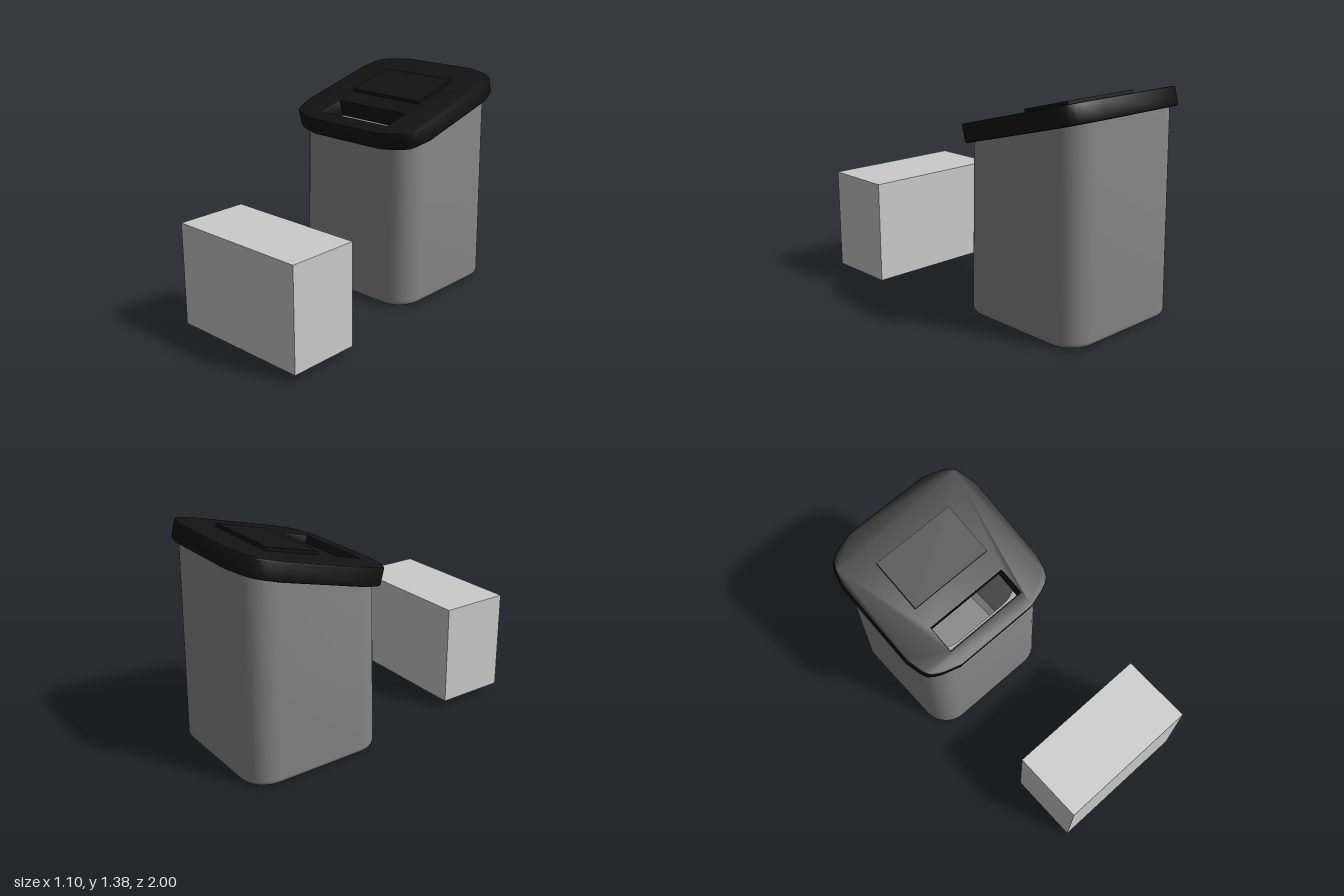
import * as THREE from 'three';
import { toCreasedNormals } from 'three/addons/utils/BufferGeometryUtils.js';

const CX = -0.05, CZ = -0.518;
const TILT = 0.26;                          // slope of the lid, radians
const LID = { y: 1.1425, z: -0.52, thick: 0.113 };
const dark = new THREE.MeshStandardMaterial({ color: 0x131313 });
const binGrey = new THREE.MeshStandardMaterial({ color: 0x898989 });
const grey = new THREE.MeshStandardMaterial({ color: 0xcccccc });

// Height of the lid's underside at depth z
const lidY = (z) => LID.y - (z - LID.z) * Math.tan(TILT);

// Rounded-rectangle ring, counterclockwise seen from above
function ring(hx, hz, r, steps = 10) {
  const pts = [];
  [[1, 1], [-1, 1], [-1, -1], [1, -1]].forEach(([sx, sz], k) => {
    for (let i = 0; i <= steps; i++) {
      const a = (k + i / steps) * Math.PI / 2;
      pts.push([sx * (hx - r) + r * Math.cos(a), -(sz * (hz - r) + r * Math.sin(a))]);
    }
  });
  return pts;
}

// Hollow tub lofted from rings: outside going up, over the slanted rim, down inside
function binGeometry() {
  const rows = [[0, 0, 0, 0]];
  for (let i = 0; i <= 5; i++) {            // rounded bottom edge
    const a = i / 5 * Math.PI / 2, inset = 0.035 * (1 - Math.sin(a));
    rows.push([0.035 * (1 - Math.cos(a)), 0.455 - inset, 0.452 - inset, 0.17 - inset]);
  }
  rows.push([null, 0.452, 0.436, 0.17], [null, 0.37, 0.36, 0.2],
    [0.09, 0.37, 0.36, 0.2], [0.05, 0.33, 0.32, 0.16], [0.05, 0, 0, 0]);

  const pos = [], idx = [];
  let n = 0;
  rows.forEach(([y, hx, hz, r]) => {
    const pts = ring(hx, hz, r);
    n = pts.length;
    pts.forEach(([x, z]) => pos.push(CX + x, y === null ? lidY(CZ + z) + 0.004 : y, CZ + z));
  });
  for (let i = 0; i < rows.length - 1; i++) {
    for (let j = 0; j < n; j++) {
      const k = (j + 1) % n, a = i * n + j, b = i * n + k, c = b + n, d = a + n;
      if (i > 0) idx.push(a, b, c);
      if (i === 0) idx.push(a, c, d);
      else if (i < rows.length - 2) idx.push(a, c, d);
    }
  }
  const g = new THREE.BufferGeometry();
  g.setAttribute('position', new THREE.Float32BufferAttribute(pos, 3));
  g.setIndex(idx);
  return toCreasedNormals(g, 0.7);
}

// Lid plate with faceted corners and a slot cut through it
function lidGeometry() {
  const corner = [[0.5, 0.28], [0.475, 0.38], [0.455, 0.42], [0.42, 0.445], [0.38, 0.463], [0.27, 0.495]];
  const flip = (sx, sy) => corner.map(([x, y]) => new THREE.Vector2(x * sx, y * sy));
  const shape = new THREE.Shape([
    ...flip(1, 1), ...flip(-1, 1).reverse(), ...flip(-1, -1), ...flip(1, -1).reverse()]);
  shape.holes.push(new THREE.Path([[-0.27, -0.39], [-0.27, -0.22], [0.27, -0.22], [0.27, -0.39]]
    .map(([x, y]) => new THREE.Vector2(x, y))));
  const b = 0.01;
  const g = new THREE.ExtrudeGeometry(shape, {
    depth: LID.thick - 2 * b, bevelEnabled: true, bevelSize: b, bevelThickness: b,
    bevelOffset: -b, bevelSegments: 2,
  });
  g.translate(0, 0, b).rotateX(-Math.PI / 2);
  return toCreasedNormals(g, 0.6);
}

function add(parent, name, geometry, material, x = 0, y = 0, z = 0) {
  const mesh = new THREE.Mesh(geometry, material);
  mesh.name = name;
  mesh.position.set(x, y, z);
  parent.add(mesh);
  return mesh;
}

export function createModel() {
  const model = new THREE.Group();
  model.name = 'binAndBox';

  add(model, 'binBody', binGeometry(), binGrey);

  // Slanted lid with a raised panel behind the slot
  const lid = new THREE.Group();
  lid.name = 'lid';
  lid.position.set(CX, LID.y, LID.z);
  lid.rotation.x = TILT;
  model.add(lid);
  add(lid, 'lidPlate', lidGeometry(), dark);
  add(lid, 'raisedPanel', new THREE.BoxGeometry(0.545, 0.04, 0.34), dark, 0, LID.thick, -0.09);

  // Separate box in front of the bin
  add(model, 'frontBox', new THREE.BoxGeometry(0.915, 0.635, 0.45), grey, 0.09, 0.3675, 0.775);

  return model;
}
